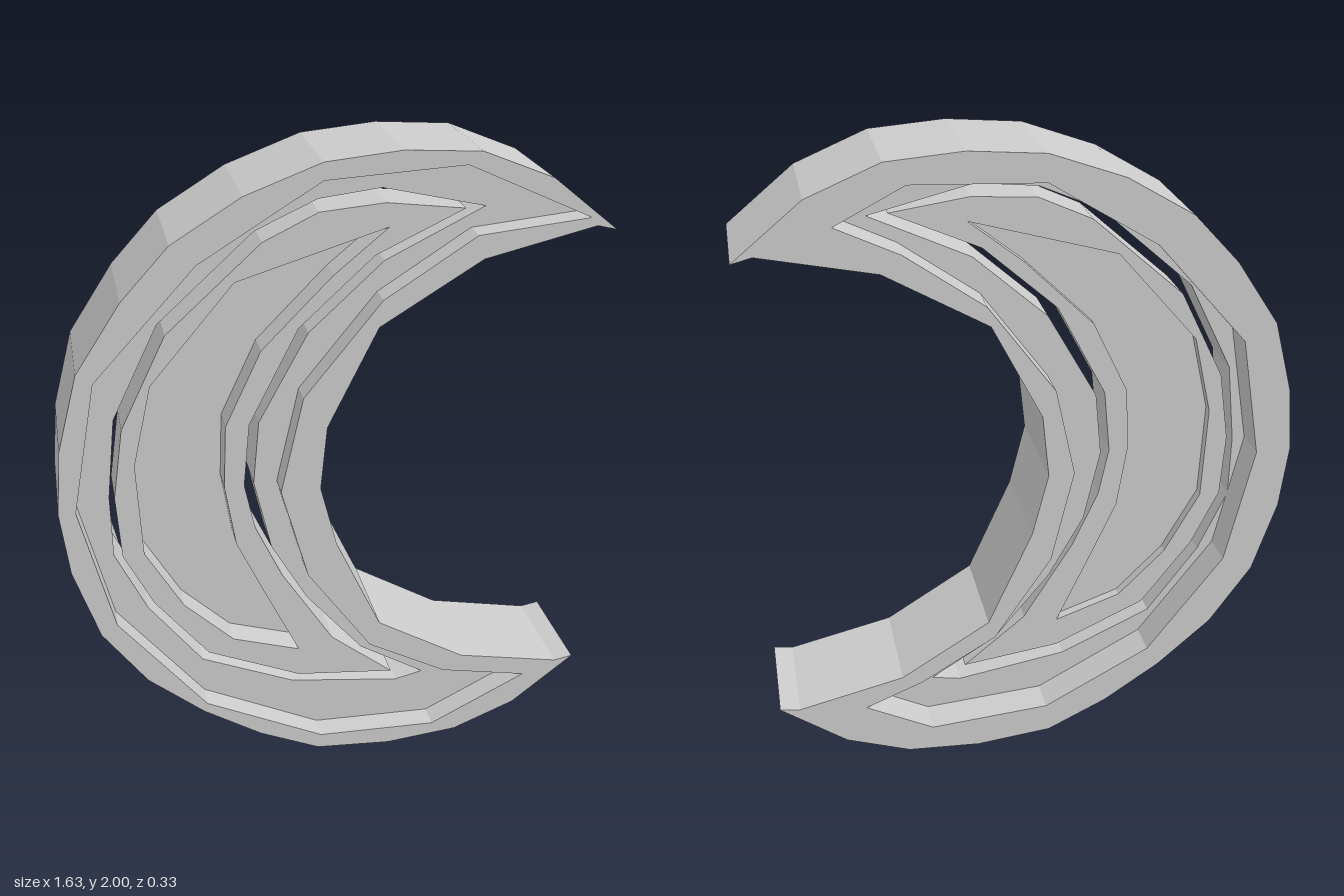
import * as THREE from 'three';

const material = new THREE.MeshStandardMaterial({ color: 0xcccccc, flatShading: true });

// Crescent outlines: down the convex side, then back up the concave side
const outline = [
  [0.81, 1.74], [0.61, 1.9], [0.4, 1.985], [0.18, 2], [-0.04, 1.98], [-0.26, 1.9], [-0.46, 1.78],
  [-0.6, 1.63], [-0.735, 1.43], [-0.8, 1.2], [-0.82, 1], [-0.8, 0.8], [-0.73, 0.57], [-0.6, 0.38],
  [-0.43, 0.23], [-0.25, 0.11], [-0.06, 0.02], [0.18, 0], [0.41, 0.02], [0.61, 0.1], [0.81, 0.26],
  [0.75, 0.25], [0.42, 0.32], [0.14, 0.49], [0, 0.8], [-0.05, 1], [-0.03, 1.2], [0.12, 1.5],
  [0.42, 1.68], [0.75, 1.755],
];
const frontOpening = [
  [0.73, 1.78], [0.36, 1.95], [-0.04, 1.93], [-0.39, 1.72], [-0.69, 1.4], [-0.77, 1], [-0.68, 0.6],
  [-0.42, 0.26], [-0.05, 0.07], [0.33, 0.055], [0.64, 0.21],
  [0.36, 0.27], [0.11, 0.41], [-0.09, 0.7], [-0.17, 1], [-0.1, 1.3], [0.13, 1.58], [0.4, 1.75],
];
const backOpening = [
  [0.54, 1.82], [0.34, 1.92], [-0.04, 1.9], [-0.36, 1.7], [-0.64, 1.38], [-0.71, 1], [-0.63, 0.62],
  [-0.39, 0.3], [-0.05, 0.12], [0.33, 0.1], [0.54, 0.22],
  [0.36, 0.29], [0.12, 0.43], [-0.06, 0.7], [-0.13, 1], [-0.07, 1.28], [0.13, 1.56], [0.36, 1.73],
];
const ledgeOpening = [
  [0.44, 1.81], [0.14, 1.88], [-0.04, 1.86], [-0.22, 1.78], [-0.5, 1.53], [-0.64, 1.25], [-0.67, 1],
  [-0.67, 0.8], [-0.58, 0.6], [-0.42, 0.38], [-0.13, 0.25], [0.22, 0.2], [0.31, 0.22],
  [0.1, 0.35], [-0.08, 0.57], [-0.19, 0.77], [-0.24, 1], [-0.22, 1.2], [-0.07, 1.47], [0.15, 1.67],
];
const panelOutline = [
  [0.38, 1.81], [0.15, 1.84], [-0.04, 1.825], [-0.2, 1.75], [-0.48, 1.5], [-0.62, 1.22], [-0.655, 1],
  [-0.645, 0.8], [-0.56, 0.62], [-0.4, 0.41], [-0.11, 0.28], [0.2, 0.245],
  [0, 0.41], [-0.16, 0.67], [-0.24, 0.85], [-0.27, 1], [-0.25, 1.2], [-0.1, 1.49], [0.12, 1.69],
];
const panelOpening = [
  [0.16, 1.77], [-0.28, 1.64], [-0.53, 1.35], [-0.59, 1.1], [-0.58, 0.8], [-0.47, 0.6], [-0.32, 0.45],
  [-0.11, 0.38], [-0.22, 0.62], [-0.3, 0.8], [-0.33, 1], [-0.32, 1.2], [-0.21, 1.43], [0, 1.64],
];

const toVectors = (points) => points.map(([x, y]) => new THREE.Vector2(x, y));

// Flat slab between two depths, with an optional opening
function slab(name, edge, opening, back, front) {
  const shape = new THREE.Shape(toVectors(edge));
  if (opening) shape.holes.push(new THREE.Path(toVectors(opening)));
  const geometry = new THREE.ExtrudeGeometry(shape, { depth: front - back, bevelEnabled: false });
  geometry.translate(0, 0, back);
  const mesh = new THREE.Mesh(geometry, material);
  mesh.name = name;
  return mesh;
}

export function createModel() {
  const model = new THREE.Group();
  model.name = 'crescent';

  // Stepped outer frame: thin front rim, recessed ledge, wider back rim
  const frame = new THREE.Group();
  frame.name = 'frame';
  frame.add(
    slab('frontRim', outline, frontOpening, 0.09, 0.165),
    slab('ledge', outline, ledgeOpening, -0.06, 0.09),
    slab('backRim', outline, backOpening, -0.165, -0.06),
  );

  // Free-standing inner crescent: raised border around a sunken plate
  const panel = new THREE.Group();
  panel.name = 'innerPanel';
  panel.add(
    slab('panelBorder', panelOutline, panelOpening, -0.05, 0.1),
    slab('panelPlate', panelOpening, null, -0.02, 0.01),
  );

  model.add(frame, panel);
  return model;
}
